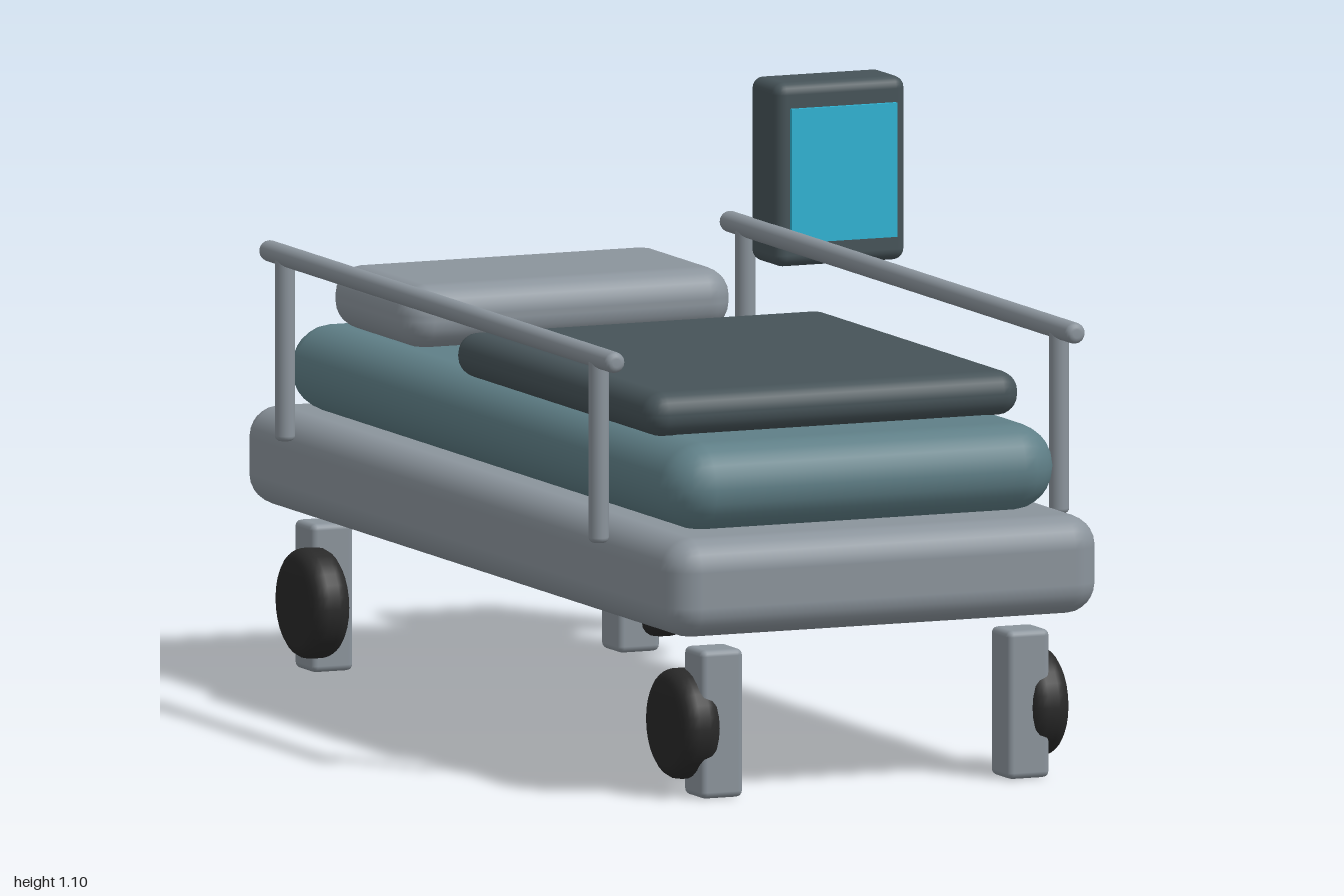
import * as THREE from 'three';
import { RoundedBoxGeometry } from 'three/addons/geometries/RoundedBoxGeometry.js';

const material = (name, color) => {
  const m = new THREE.MeshStandardMaterial({ color });
  m.name = name;
  return m;
};

// Solid rod or disc along y with rounded rims
function roundedRod(radius, length, bevel, sides) {
  const h = length / 2, steps = 4, points = [new THREE.Vector2(0, -h)];
  for (const end of [-1, 1]) {
    for (let i = 0; i <= steps; i++) {
      const a = (end < 0 ? i - steps : i) / steps * Math.PI / 2;
      points.push(new THREE.Vector2(
        radius - bevel + bevel * Math.cos(a),
        end * (h - bevel) + bevel * Math.sin(a)));
    }
  }
  points.push(new THREE.Vector2(0, h));
  return new THREE.LatheGeometry(points, sides);
}

export function createModel() {
  const group = new THREE.Group();
  group.name = 'hospitalBed';
  const grey = material('frame grey', 0x8b949c);
  const teal = material('mattress teal', 0x5f7f87);
  const slate = material('dark slate', 0x465358);
  const black = material('tyre black', 0x292929);
  const cyan = material('screen cyan', 0x2fb4d4);

  const add = (parent, name, geometry, mat, x, y, z) => {
    const mesh = new THREE.Mesh(geometry, mat);
    mesh.name = name;
    mesh.position.set(x, y, z);
    parent.add(mesh);
    return mesh;
  };
  // Rounded box given by its lower and upper corners
  const block = (parent, name, mat, [x0, y0, z0], [x1, y1, z1], radius, segments = 3) =>
    add(parent, name, new RoundedBoxGeometry(x1 - x0, y1 - y0, z1 - z0, segments, radius), mat,
      (x0 + x1) / 2, (y0 + y1) / 2, (z0 + z1) / 2);

  // Bed: the monitor sits off to one side, so the bed is off centre
  const bed = new THREE.Group();
  bed.name = 'bed';
  bed.position.x = -0.128;
  group.add(bed);
  block(bed, 'frame', grey, [-0.441, 0.309, -1], [0.441, 0.496, 1], 0.06);
  block(bed, 'mattress', teal, [-0.398, 0.494, -0.92], [0.398, 0.659, 0.92], 0.082);
  block(bed, 'blanket', slate, [-0.382, 0.656, -0.155], [0.382, 0.74, 0.76], 0.04);
  block(bed, 'pillow', grey, [-0.337, 0.656, -0.834], [0.337, 0.776, -0.455], 0.055);

  const railGeometry = roundedRod(0.02, 1.61, 0.012, 16);
  const postGeometry = roundedRod(0.019, 0.35, 0.01, 16);
  const wheelGeometry = roundedRod(0.104, 0.078, 0.028, 28);

  for (const side of [-1, 1]) {
    // Side rail on two posts
    const rail = add(bed, 'sideRail', railGeometry, grey, side * 0.47, 0.812, 0);
    rail.rotation.x = Math.PI / 2;
    for (const end of [-1, 1]) {
      add(bed, 'railPost', postGeometry, grey, side * 0.47, 0.638, end * 0.722);
      // Leg with its wheel on the outer side
      block(bed, 'leg', grey,
        [side * 0.313 - 0.043, 0, end * 0.897 - 0.043],
        [side * 0.313 + 0.043, 0.28, end * 0.897 + 0.043], 0.012, 2);
      const wheel = add(bed, 'wheel', wheelGeometry, black, side * 0.356, 0.133, end * 0.853);
      wheel.rotation.z = Math.PI / 2;
    }
  }

  // Monitor with a thin screen just in front of it
  const monitor = new THREE.Group();
  monitor.name = 'monitor';
  group.add(monitor);
  block(monitor, 'monitorCase', slate, [0.346, 0.75, -0.716], [0.613, 1.097, -0.588], 0.022);
  add(monitor, 'screen', new THREE.BoxGeometry(0.215, 0.253, 0.009), cyan, 0.479, 0.924, -0.578);

  return group;
}
